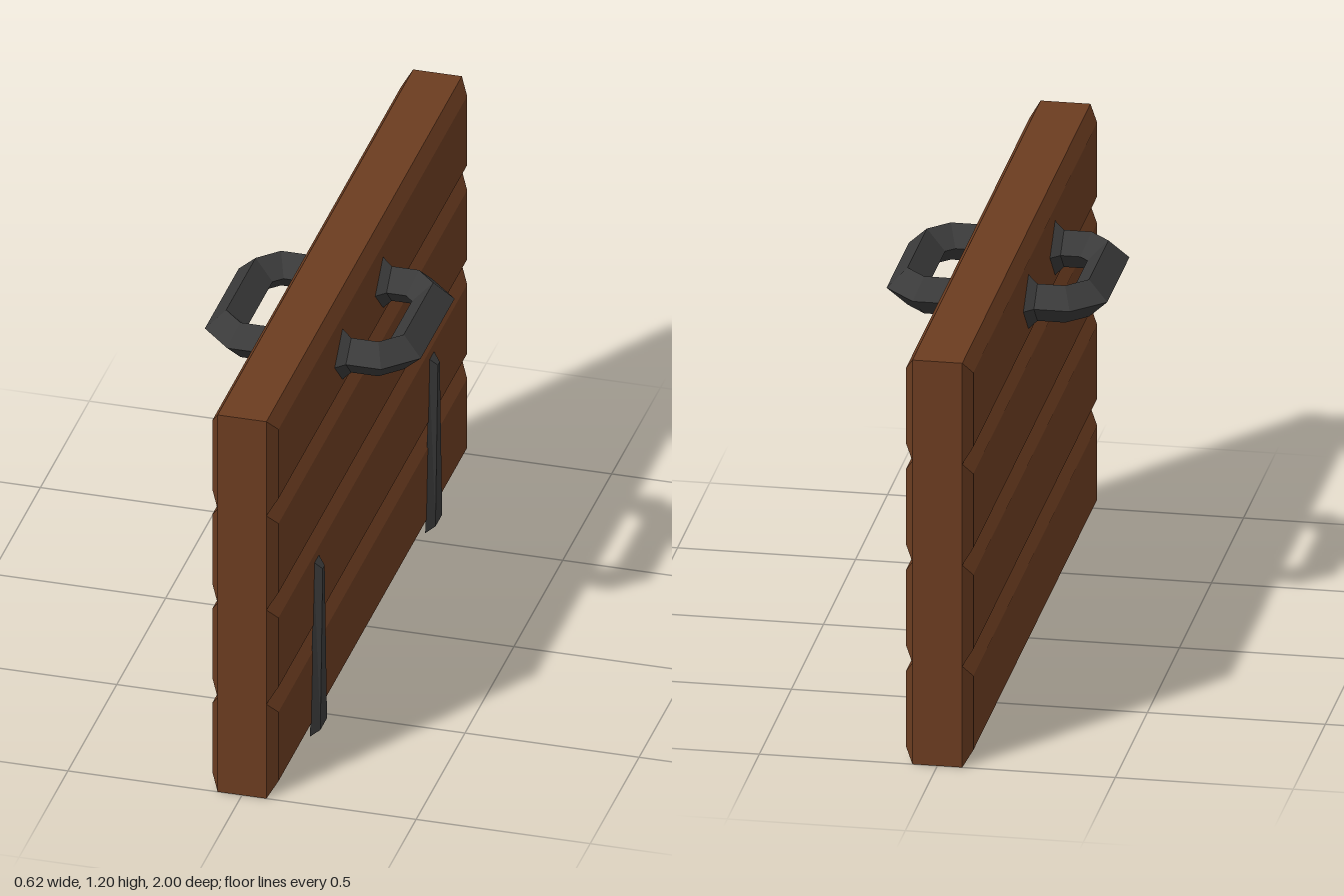
import * as THREE from 'three';

const wood = new THREE.MeshStandardMaterial({ color: 0x6b3c20, flatShading: true });
const iron = new THREE.MeshStandardMaterial({ color: 0x3a3a3a, flatShading: true });

// Skins a row of four-cornered rings; corners run counter-clockwise seen from the far end
function loft(rings, capStart, capEnd) {
  const pos = [];
  const quad = (a, b, c, d) => [a, b, c, a, c, d].forEach((p) => pos.push(...p));
  for (let i = 0; i < rings.length - 1; i++) {
    for (let j = 0; j < 4; j++) {
      const k = (j + 1) % 4;
      quad(rings[i][j], rings[i][k], rings[i + 1][k], rings[i + 1][j]);
    }
  }
  if (capStart) quad(...[...rings[0]].reverse());
  if (capEnd) quad(...rings[rings.length - 1]);
  const g = new THREE.BufferGeometry();
  g.setAttribute('position', new THREE.Float32BufferAttribute(pos, 3));
  g.computeVertexNormals();
  return g;
}

function addMesh(parent, name, geometry, material) {
  const m = new THREE.Mesh(geometry, material);
  m.name = name;
  parent.add(m);
  return m;
}

// Trapezoid ring at x, from y0 to y1, with half widths in z at bottom and top
const ringX = (x, y0, y1, w0, w1) => [[x, y0, -w0], [x, y1, -w1], [x, y1, w1], [x, y0, w0]];

// Diamond bar bent into a bracket, flared where it meets the planks
function handleGeometry() {
  const r = 0.055;
  const mitre = r / Math.cos(Math.PI / 8);
  const half = [ // x, z, outward angle in degrees, height radius, in-plane radius
    [0.093, -0.2075, -90, 0.083, 0.083],
    [0.12, -0.2075, -90, r, r],
    [0.198, -0.2075, -67.5, r, mitre],
    [0.255, -0.1505, -22.5, r, mitre],
  ];
  const path = [...half, ...half.map(([x, z, a, h, w]) => [x, -z, -a, h, w]).reverse()];
  const rings = path.map(([x, z, deg, h, w]) => {
    const a = THREE.MathUtils.degToRad(deg);
    const dx = Math.cos(a) * w, dz = Math.sin(a) * w;
    return [[x, h, z], [x - dx, 0, z - dz], [x, -h, z], [x + dx, 0, z + dz]];
  });
  return loft(rings, true, true);
}

export function createModel() {
  const model = new THREE.Group();
  model.name = 'hatch';

  // Solid board
  const core = addMesh(model, 'board', new THREE.BoxGeometry(0.14, 1.2, 2), wood);
  core.position.y = 0.6;

  // Four bevelled planks and a handle on each side
  const plank = loft([ringX(0.07, 0, 0.3, 1, 1), ringX(0.095, 0.04, 0.26, 0.965, 0.965)], false, true);
  const handle = handleGeometry();
  for (const turn of [0, Math.PI]) {
    for (let i = 0; i < 4; i++) {
      const p = addMesh(model, 'plank', plank, wood);
      p.position.y = i * 0.3;
      p.rotation.y = turn;
    }
    const h = addMesh(model, 'handle', handle, iron);
    h.position.set(0, 1.04, 0.1025);
    h.rotation.y = turn;
  }

  // Tapered hinge straps on the left side
  const strap = loft([ringX(0.093, 0, 0.535, 0.061, 0.024), ringX(0.115, 0.01, 0.51, 0.034, 0.01)], true, true);
  for (const z of [0.574, -0.604]) {
    addMesh(model, 'hingeStrap', strap, iron).position.z = z;
  }
  return model;
}
